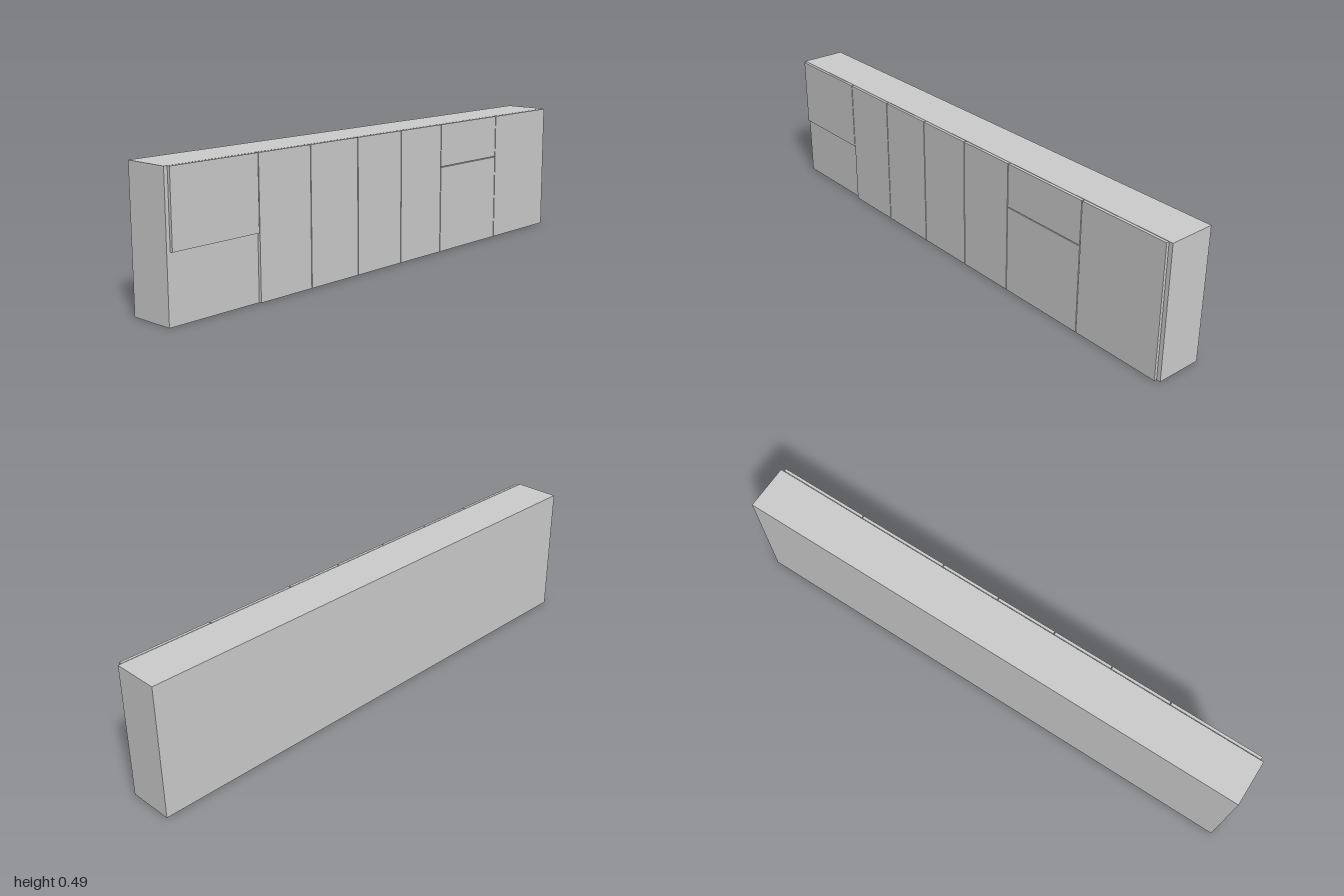
import * as THREE from 'three';

export function createModel() {
  const group = new THREE.Group();
  const material = new THREE.MeshStandardMaterial({ color: 0xcccccc, flatShading: true });

  // Box given by its minimum and maximum corners
  function addBox(name, [x0, y0, z0], [x1, y1, z1]) {
    const mesh = new THREE.Mesh(new THREE.BoxGeometry(x1 - x0, y1 - y0, z1 - z0), material);
    mesh.position.set((x0 + x1) / 2, (y0 + y1) / 2, (z0 + z1) / 2);
    mesh.name = name;
    group.add(mesh);
  }

  const height = 0.494;
  addBox('cabinetBody', [-0.0925, 0, -1], [0.08, height, 1]);

  // Door and drawer fronts along +x: name, z range, y range; the bay below the first is open
  const gap = 0.0015;
  const fronts = [
    ['upperDoor', 0.64, 0.99, 0.234, height],
    ['door1', 0.407, 0.64, 0.002, height],
    ['door2', 0.176, 0.407, 0.002, height],
    ['door3', -0.056, 0.176, 0.002, height],
    ['door4', -0.288, -0.056, 0.002, height],
    ['drawerFront', -0.638, -0.288, 0.333, height],
    ['ovenDoor', -0.638, -0.288, 0.002, 0.333],
    ['wideDoor', -0.988, -0.638, 0.002, height],
  ];
  for (const [name, z0, z1, y0, y1] of fronts) {
    const top = y1 === height ? y1 : y1 - gap * 2;
    addBox(name, [0.082, y0, z0 + gap], [0.0925, top, z1 - gap]);
  }

  return group;
}
